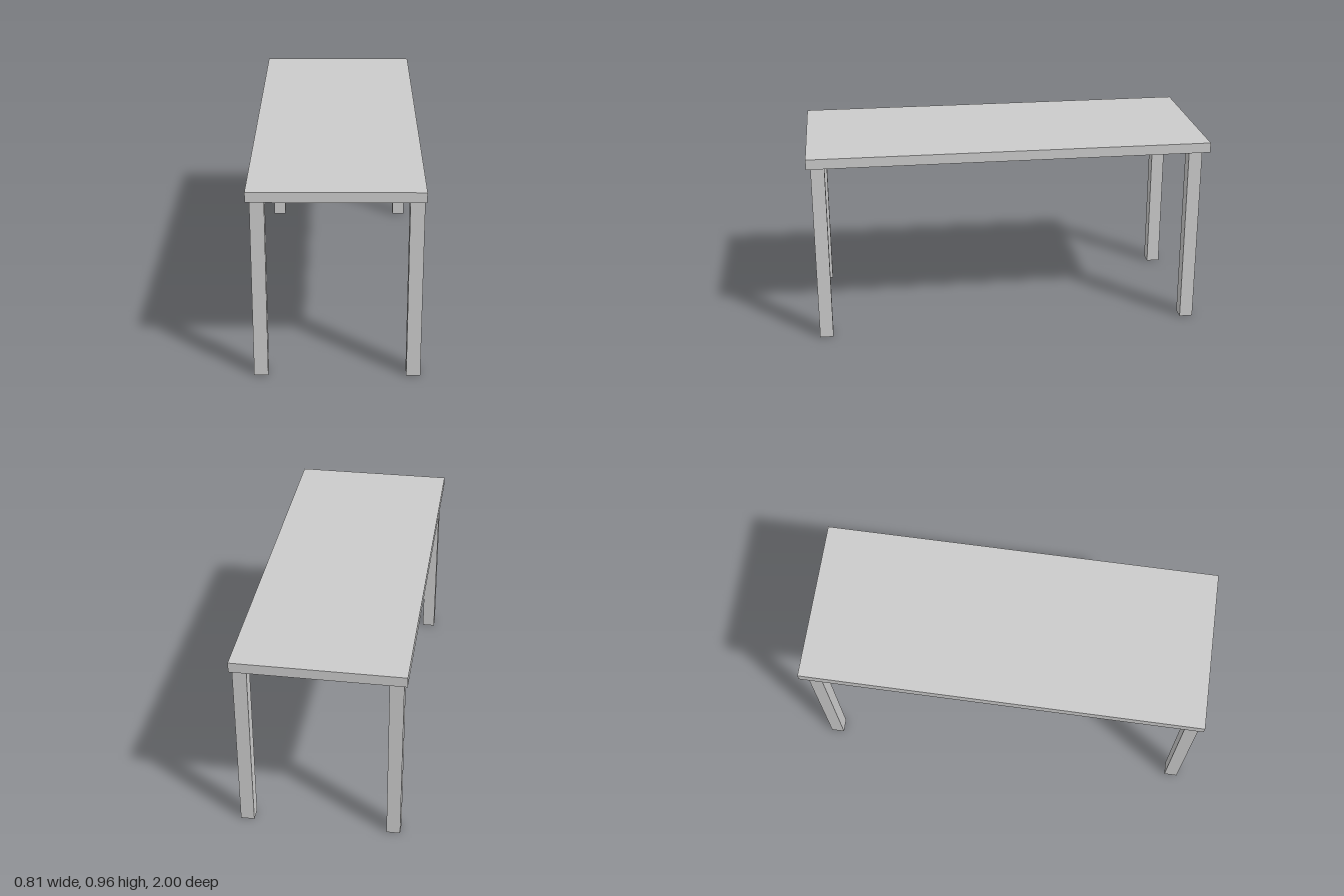
import * as THREE from 'three';

export function createModel() {
  const model = new THREE.Group();
  model.name = 'table';
  const material = new THREE.MeshStandardMaterial({ color: 0xcccccc, flatShading: true });

  function addBox(name, size, position) {
    const mesh = new THREE.Mesh(new THREE.BoxGeometry(...size), material);
    mesh.name = name;
    mesh.position.set(...position);
    model.add(mesh);
  }

  const legHeight = 0.906;
  const legWidth = 0.067;
  const topThickness = 0.05;

  // Flat slab top
  addBox('tableTop', [0.815, topThickness, 2], [0, legHeight + topThickness / 2, 0]);

  // Four square legs, set slightly off centre under the top
  for (const [side, x] of [['Left', 0.367], ['Right', -0.356]]) {
    for (const [end, z] of [['front', 0.945], ['back', -0.927]]) {
      addBox(`${end}${side}Leg`, [legWidth, legHeight, legWidth], [x, legHeight / 2, z]);
    }
  }
  return model;
}
